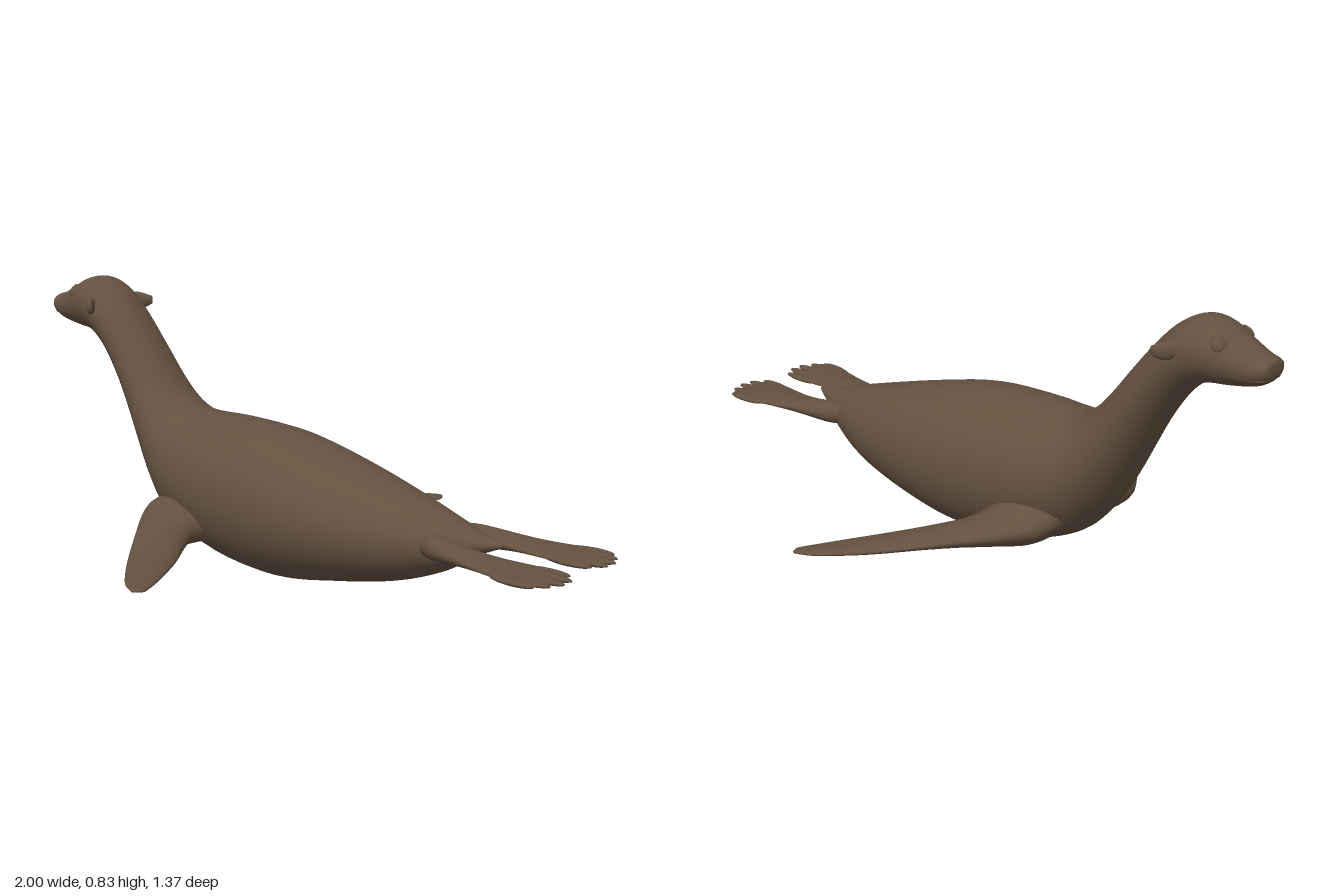
import * as THREE from 'three';

const V = (x, y, z) => new THREE.Vector3(x, y, z);

// Closed skin through elliptical sections. Each section is [p, q, b]:
// p and q are opposite ends of one axis, b is the other half axis.
function loft(sections, steps, sides) {
  const curves = [0, 1, 2].map(k => new THREE.CatmullRomCurve3(sections.map(s => s[k]), false, 'catmullrom', 0.5));
  const rows = (sections.length - 1) * steps;
  const pos = [], idx = [];
  for (let i = 0; i <= rows; i++) {
    const [p, q, b] = curves.map(c => c.getPoint(i / rows));
    const c = p.clone().add(q).multiplyScalar(0.5);
    const a = p.clone().sub(c);
    for (let j = 0; j < sides; j++) {
      const u = j / sides * Math.PI * 2;
      const v = c.clone().addScaledVector(a, Math.cos(u)).addScaledVector(b, Math.sin(u));
      pos.push(v.x, v.y, v.z);
    }
  }
  const end = (rows + 1) * sides;
  for (const s of [sections[0], sections[sections.length - 1]]) {
    const c = s[0].clone().add(s[1]).multiplyScalar(0.5);
    pos.push(c.x, c.y, c.z);
  }
  for (let j = 0; j < sides; j++) {
    const k = (j + 1) % sides;
    for (let i = 0; i < rows; i++) {
      const r = i * sides, n = r + sides;
      idx.push(r + j, r + k, n + j, r + k, n + k, n + j);
    }
    idx.push(end, k, j, end + 1, rows * sides + j, rows * sides + k);
  }
  // Turn the faces outward if the sections run the other way round
  let volume = 0;
  const at = i => V(pos[3 * i], pos[3 * i + 1], pos[3 * i + 2]);
  for (let i = 0; i < idx.length; i += 3) volume += at(idx[i]).dot(at(idx[i + 1]).cross(at(idx[i + 2])));
  if (volume < 0) idx.reverse();
  const g = new THREE.BufferGeometry();
  g.setAttribute('position', new THREE.Float32BufferAttribute(pos, 3));
  g.setIndex(idx);
  g.computeVertexNormals();
  return g;
}

export function createModel() {
  const group = new THREE.Group();
  const fur = new THREE.MeshStandardMaterial({ color: 0x645140 });
  fur.name = 'brown fur';
  const add = (name, geometry, parent = group) => {
    const m = new THREE.Mesh(geometry, fur);
    m.name = name;
    parent.add(m);
    return m;
  };

  // Head, neck and trunk: top x, top y, bottom x, bottom y, half width
  const trunk = [
    [-1.0, 0.742, -1.0, 0.715, 0.018],
    [-0.993, 0.757, -0.99, 0.698, 0.044],
    [-0.955, 0.768, -0.955, 0.678, 0.058],
    [-0.90, 0.794, -0.885, 0.663, 0.074],
    [-0.845, 0.82, -0.83, 0.656, 0.09],
    [-0.785, 0.826, -0.79, 0.643, 0.098],
    [-0.72, 0.795, -0.755, 0.616, 0.1],
    [-0.655, 0.732, -0.716, 0.573, 0.1],
    [-0.58, 0.64, -0.66, 0.49, 0.106],
    [-0.515, 0.556, -0.605, 0.39, 0.117],
    [-0.455, 0.493, -0.55, 0.29, 0.134],
    [-0.395, 0.459, -0.485, 0.19, 0.158],
    [-0.33, 0.451, -0.395, 0.096, 0.183],
    [-0.2, 0.45, -0.22, 0.026, 0.206],
    [0.0, 0.433, 0.0, 0.001, 0.215],
    [0.2, 0.383, 0.2, 0.027, 0.2],
    [0.4, 0.325, 0.4, 0.066, 0.153],
    [0.56, 0.276, 0.55, 0.12, 0.093],
    [0.66, 0.245, 0.64, 0.176, 0.045],
    [0.73, 0.227, 0.73, 0.217, 0.005],
  ].map(([tx, ty, bx, by, w]) => [V(tx, ty, 0), V(bx, by, 0), V(0, 0, w)]);
  add('body', loft(trunk, 4, 48));

  for (const s of [1, -1]) {
    const side = s > 0 ? 'left' : 'right';

    // Front flipper: leading x, y, z, trailing x, y, z, half thickness
    const fore = [
      [-0.42, 0.17, 0.08, -0.17, 0.14, 0.1, 0.07],
      [-0.42, 0.165, 0.175, -0.195, 0.135, 0.205, 0.062],
      [-0.385, 0.157, 0.246, -0.166, 0.125, 0.278, 0.043],
      [-0.262, 0.142, 0.396, -0.075, 0.118, 0.41, 0.023],
      [-0.128, 0.126, 0.55, 0.005, 0.115, 0.55, 0.014],
      [-0.03, 0.12, 0.648, 0.052, 0.115, 0.645, 0.008],
      [0.012, 0.119, 0.676, 0.053, 0.117, 0.668, 0.006],
      [0.034, 0.118, 0.686, 0.044, 0.118, 0.684, 0.003],
    ].map(([ax, ay, az, bx, by, bz, t]) => [V(ax, ay, az * s), V(bx, by, bz * s), V(0, t, 0)]);
    add(side + 'FrontFlipper', loft(fore, 4, 24));

    // Hind flipper: x, y, outer z, inner z, half thickness
    const hind = new THREE.Group();
    hind.name = side + 'HindFlipper';
    group.add(hind);
    const paddle = [
      [0.50, 0.205, 0.075, 0.05, 0.01],
      [0.53, 0.206, 0.1, 0.045, 0.028],
      [0.58, 0.207, 0.128, 0.045, 0.033],
      [0.66, 0.206, 0.148, 0.055, 0.025],
      [0.76, 0.203, 0.175, 0.048, 0.014],
      [0.86, 0.201, 0.199, 0.038, 0.01],
      [0.92, 0.2, 0.206, 0.037, 0.008],
      [0.955, 0.199, 0.186, 0.052, 0.005],
    ].map(([x, y, zo, zi, t]) => [V(x, y, zo * s), V(x, y, zi * s), V(0, t, 0)]);
    add('paddle', loft(paddle, 4, 24), hind);

    // Five toes: tip x and z
    [[0.952, 0.192], [0.98, 0.162], [0.997, 0.126], [0.995, 0.09], [0.968, 0.056]].forEach(([x, z], i) => {
      const toe = add('toe' + (i + 1), new THREE.SphereGeometry(1, 14, 10), hind);
      toe.scale.set(0.07, 0.009, 0.018);
      toe.position.set(x - 0.069, 0.199, (z - 0.003) * s);
      toe.rotation.y = -s * (z - 0.09) * 0.9;
    });

    // Small rolled ear sweeping back
    const ear = [
      [-0.765, 0.75, 0.08, 0.018, 0.012],
      [-0.75, 0.745, 0.1, 0.026, 0.012],
      [-0.733, 0.743, 0.12, 0.021, 0.01],
      [-0.718, 0.745, 0.133, 0.012, 0.006],
    ].map(([x, y, z, h, t]) => [V(x, y + h, z * s), V(x, y - h, z * s), V(t, 0, -t * 0.6 * s)]);
    add(side + 'Ear', loft(ear, 4, 16));

    // Eye and its lid rim, set into the side of the head
    const eye = new THREE.Group();
    eye.name = side + 'Eye';
    eye.position.set(-0.868, 0.777, 0.063 * s);
    eye.lookAt(-0.868 - 0.45, 0.777 + 0.5, (0.063 + 1) * s);
    group.add(eye);
    add('eyeball', new THREE.SphereGeometry(0.02, 20, 14), eye).scale.z = 0.6;
    add('eyelid', new THREE.TorusGeometry(0.021, 0.004, 8, 24), eye);

    // Nostril rim and mouth crease
    const nostril = add(side + 'Nostril', new THREE.SphereGeometry(0.01, 12, 8));
    nostril.position.set(-0.99, 0.742, 0.02 * s);
    const lip = new THREE.CatmullRomCurve3([
      V(-0.996, 0.708, 0), V(-0.985, 0.705, 0.036 * s), V(-0.95, 0.703, 0.051 * s), V(-0.905, 0.71, 0.066 * s)]);
    add(side + 'Lip', new THREE.TubeGeometry(lip, 16, 0.003, 6));
  }
  return group;
}
